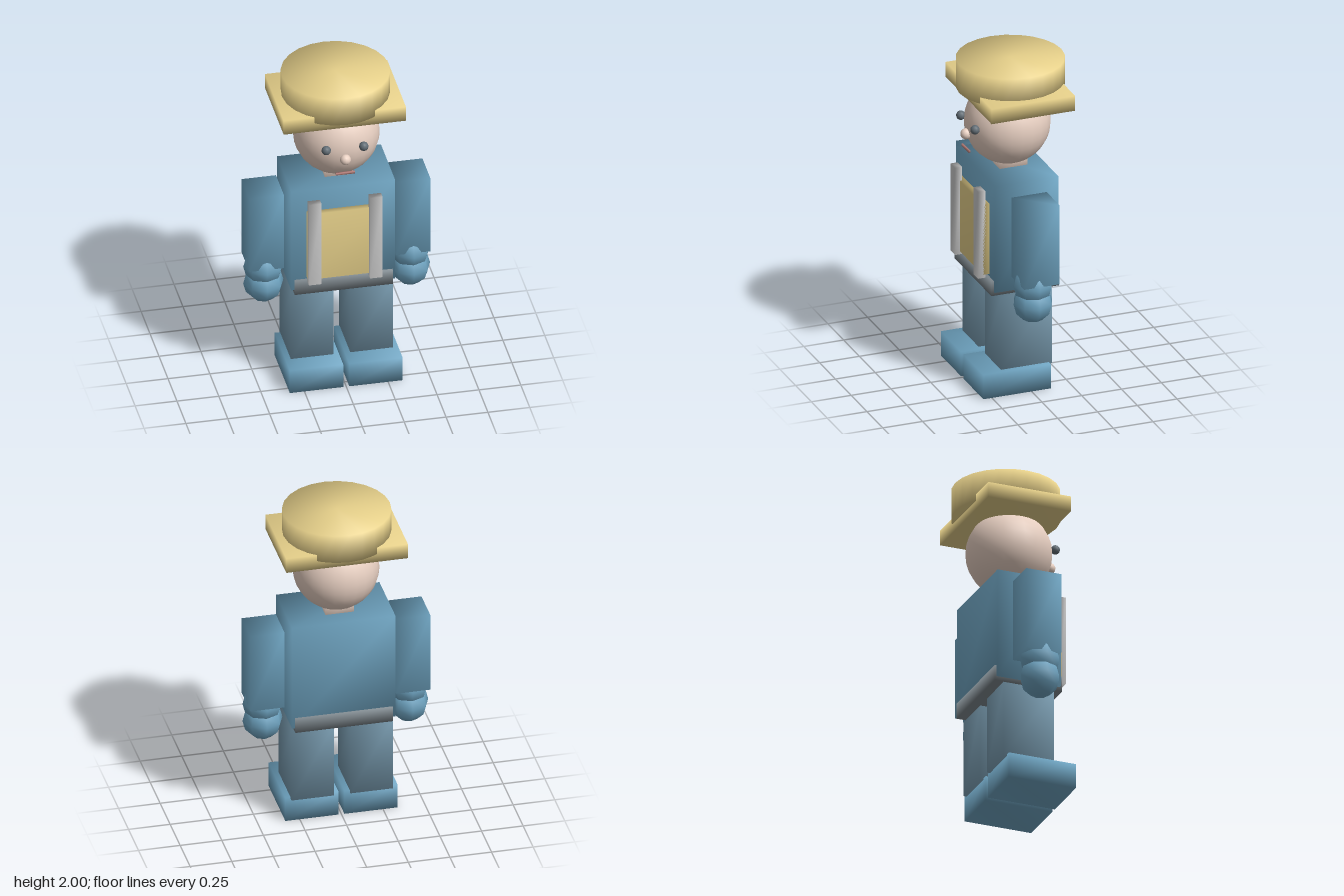
import * as THREE from 'three';
import { mergeVertices } from 'three/addons/utils/BufferGeometryUtils.js';

const material = (color) => new THREE.MeshStandardMaterial({ color });
const BLUE = material(0x6ea3c0);
const TROUSER = material(0x7698ac);
const STRAW = material(0xe6d08a);
const SKIN = material(0xe8d0c2);
const STRAP = material(0xbdbdbd);
const BELT = material(0x808a90);
const EYE = material(0x626d75);
const LIP = material(0xb87f7a);

// Share the corner vertices so that normals blend softly across every edge.
function soften(geometry) {
  geometry.deleteAttribute('normal');
  geometry.deleteAttribute('uv');
  const merged = mergeVertices(geometry, 1e-4);
  merged.computeVertexNormals();
  return merged;
}

export function createModel() {
  const model = new THREE.Group();
  model.name = 'toyFigure';

  const add = (name, geometry, mat, x, y, z) => {
    const mesh = new THREE.Mesh(geometry, mat);
    mesh.name = name;
    mesh.position.set(x, y, z);
    model.add(mesh);
  };

  // Box given by its extent on each axis.
  const box = (name, mat, [x0, x1], [y0, y1], [z0, z1]) =>
    add(name, soften(new THREE.BoxGeometry(x1 - x0, y1 - y0, z1 - z0)), mat,
      (x0 + x1) / 2, (y0 + y1) / 2, (z0 + z1) / 2);

  const ball = (name, mat, r, x, y, z, sides = 12, rows = 8) =>
    add(name, soften(new THREE.SphereGeometry(r, sides, rows)), mat, x, y, z);

  // Body
  box('torso', BLUE, [-0.31, 0.31], [0.655, 1.335], [-0.18, 0.22]);
  box('belt', BELT, [-0.293, 0.293], [0.63, 0.725], [-0.19, 0.235]);
  box('chestPanel', STRAW, [-0.22, 0.22], [0.74, 1.19], [0.2, 0.26]);
  box('neck', SKIN, [-0.085, 0.085], [1.3, 1.42], [-0.075, 0.1]);

  // Head and face
  ball('head', SKIN, 0.255, 0, 1.6, 0.02, 24, 16);
  ball('nose', SKIN, 0.033, 0, 1.555, 0.28);
  box('mouth', LIP, [-0.057, 0.057], [1.457, 1.47], [0.274, 0.286]);

  // Hat
  box('hatBrim', STRAW, [-0.365, 0.365], [1.765, 1.86], [-0.262, 0.262]);
  add('hatCrown', soften(new THREE.CylinderGeometry(0.32, 0.32, 0.18, 24)), STRAW, 0, 1.91, 0);

  // Paired parts, left (+x) and right (-x)
  for (const [side, s] of [['left', 1], ['right', -1]]) {
    const span = (a, b) => (s > 0 ? [a, b] : [-b, -a]);
    box(side + 'Strap', STRAP, span(0.145, 0.22), [0.72, 1.275], [0.245, 0.29]);
    box(side + 'Arm', BLUE, span(0.335, 0.54), [0.755, 1.26], [-0.095, 0.127]);
    ball(side + 'Wrist', BLUE, 0.12, s * 0.438, 0.735, 0.033, 8, 6);
    ball(side + 'Hand', BLUE, 0.12, s * 0.438, 0.62, 0.033, 8, 6);
    box(side + 'Leg', TROUSER, span(0.05, 0.305), [0.145, 0.62], [-0.14, 0.18]);
    box(side + 'Foot', BLUE, span(0.018, 0.337), [0, 0.155], [-0.12, 0.303]);
    ball(side + 'Eye', EYE, 0.028, s * 0.112, 1.625, 0.267);
  }

  return model;
}
